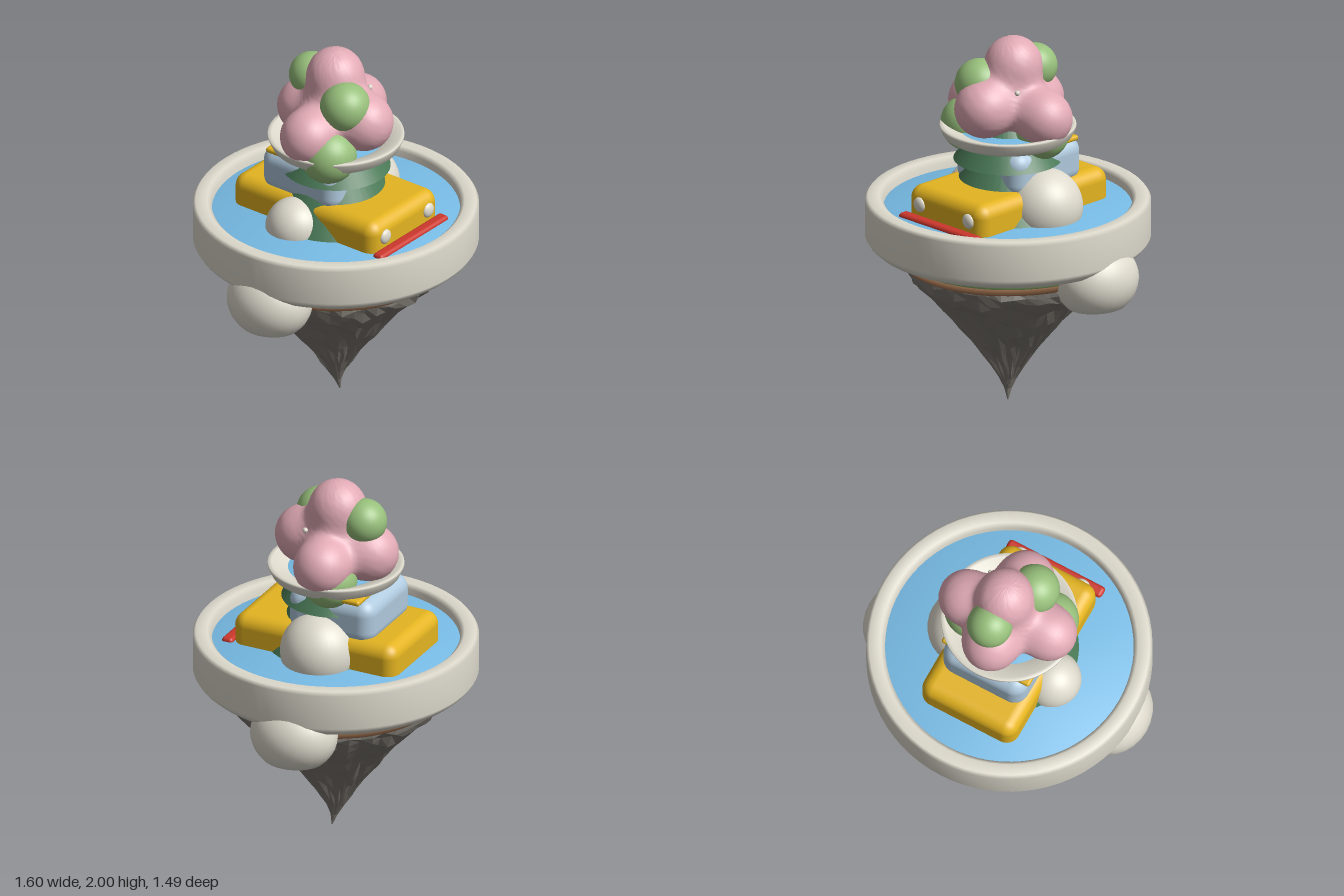
import * as THREE from 'three';
import { mergeVertices } from 'three/addons/utils/BufferGeometryUtils.js';
import { RoundedBoxGeometry } from 'three/addons/geometries/RoundedBoxGeometry.js';

const mat = (name, color) => {
  const m = new THREE.MeshStandardMaterial({ color });
  m.name = name;
  return m;
};

// Weld the vertices so that shading flows smoothly over every edge
const soften = (geometry) => {
  geometry.deleteAttribute('uv');
  geometry.deleteAttribute('normal');
  const welded = mergeVertices(geometry, 1e-4);
  welded.computeVertexNormals();
  return welded;
};

const lathe = (points, segments = 64) =>
  soften(new THREE.LatheGeometry(points.map((p) => new THREE.Vector2(...p)), segments));
const disc = (r, h) => soften(new THREE.CylinderGeometry(r, r, h, 64));
const ball = (r) => new THREE.SphereGeometry(r, 32, 22);

const hash = (a, b) => {
  const s = Math.sin(a * 127.1 + b * 311.7) * 43758.5453;
  return s - Math.floor(s);
};

// Smooth union of balls [x, y, z, r], found along rays from the origin
function blendBalls(balls, sharpness) {
  const g = new THREE.SphereGeometry(1, 80, 60);
  const pos = g.attributes.position;
  const dir = new THREE.Vector3();
  const inside = (t) => balls.reduce((sum, [x, y, z, r]) =>
    sum + Math.exp(-sharpness * (Math.hypot(dir.x * t - x, dir.y * t - y, dir.z * t - z) - r)), 0) > 1;
  for (let i = 0; i < pos.count; i++) {
    dir.fromBufferAttribute(pos, i).normalize();
    let t = 0.5;
    while (t > 0.05 && !inside(t)) t -= 0.002;
    pos.setXYZ(i, dir.x * t, dir.y * t, dir.z * t);
  }
  return soften(g);
}

export function createModel() {
  const stone = mat('pale stone', 0xdedacd);
  const water = mat('water blue', 0x78bce6);
  const yellow = mat('car yellow', 0xe4b420);
  const red = mat('bumper red', 0xcc372c);
  const glass = mat('glass blue', 0xb0cade);
  const pink = mat('blossom pink', 0xe2abb6);
  const leaf = mat('leaf green', 0x98c07c);
  const pine = mat('pine green', 0x4a7a57);
  const soil = mat('soil brown', 0x9e704f);
  const rock = mat('rock grey', 0x7b766f);

  const model = new THREE.Group();
  model.name = 'floatingIsland';
  const add = (name, geometry, material, x = 0, y = 0, z = 0, parent = model) => {
    const mesh = new THREE.Mesh(geometry, material);
    mesh.name = name;
    mesh.position.set(x, y, z);
    parent.add(mesh);
    return mesh;
  };
  const group = (name) => {
    const g = new THREE.Group();
    g.name = name;
    model.add(g);
    return g;
  };

  // Hanging rock: a faceted, tapering spike with rough ridges and a bent tip
  const profile = [[0.003, 0], [0.02, 0.06], [0.05, 0.12], [0.09, 0.19], [0.145, 0.27], [0.205, 0.35], [0.27, 0.43],
    [0.335, 0.51], [0.4, 0.58], [0.46, 0.64], [0.51, 0.695], [0.535, 0.74], [0.535, 0.775]];
  const sides = 52;
  const rings = profile.length;
  const spike = new THREE.LatheGeometry(profile.map((p) => new THREE.Vector2(...p)), sides);
  const pos = spike.attributes.position;
  for (let i = 0; i < pos.count; i++) {
    const ring = i % rings;
    const side = Math.floor(i / rings) % sides;
    const ridge = 0.955 + 0.05 * hash(side, 1) + 0.05 * hash(side, ring + 5);
    const drop = ring > 2 && ring < rings - 1 ? (hash(side, ring + 40) - 0.5) * 0.03 : 0;
    const bend = ring < 2 ? 0.015 * (1 - ring * 0.6) : 0;
    pos.setXYZ(i, pos.getX(i) * ridge + bend, pos.getY(i) + drop, pos.getZ(i) * ridge + bend);
  }
  const facets = spike.toNonIndexed();
  facets.computeVertexNormals();
  add('hangingRock', facets, rock);

  // Soil and grass layers
  add('soilLayer', lathe([[0, 0.75], [0.53, 0.75], [0.55, 0.76], [0.575, 0.81], [0, 0.81]]), soil);
  add('grassLayer', lathe([[0, 0.8], [0.57, 0.8], [0.59, 0.83], [0.58, 0.87], [0, 0.87]]), leaf);

  // Pool basin and water
  add('poolRim', lathe([[0.5, 0.86], [0.7, 0.858], [0.73, 0.885], [0.745, 0.91], [0.745, 1.1],
    [0.73, 1.12], [0.67, 1.12], [0.648, 1.1], [0.645, 1.0]], 72), stone);
  add('poolWater', disc(0.65, 0.1), water, 0, 1.015, 0);

  // Flat-bottomed boulders clinging to both sides
  for (const [name, x, z] of [['leftSideBoulder', 0.595, -0.06], ['rightSideBoulder', -0.595, 0.03]]) {
    const g = new THREE.SphereGeometry(1, 28, 20);
    g.scale(0.205, 0.2, 0.235);
    const p = g.attributes.position;
    for (let i = 0; i < p.count; i++) p.setY(i, Math.max(p.getY(i), -0.145));
    add(name, soften(g), stone, x, 0.795, z);
  }

  // Boulders standing in the pool
  add('leftPoolBoulder', ball(0.205), stone, 0.24, 1.115, -0.025);
  add('rightPoolBoulder', ball(0.155), stone, -0.28, 1.07, -0.05);

  // Car
  const car = group('car');
  add('carBody', new RoundedBoxGeometry(0.56, 0.23, 0.95, 5, 0.07), yellow, 0, 1.115, -0.005, car);
  add('carCabin', new RoundedBoxGeometry(0.49, 0.25, 0.5, 6, 0.08), glass, 0, 1.305, -0.075, car);
  add('carRoof', new RoundedBoxGeometry(0.52, 0.03, 0.27, 3, 0.014), yellow, 0, 1.438, -0.13, car);
  add('frontBumper', new RoundedBoxGeometry(0.57, 0.05, 0.065, 3, 0.02), red, 0, 1.06, 0.495, car);
  for (const s of [-1, 1]) {
    const lamp = add(s > 0 ? 'leftHeadlight' : 'rightHeadlight', ball(0.04), stone, s * 0.18, 1.14, 0.468, car);
    lamp.scale.z = 0.55;
  }

  // Conifer tiers
  const tree = group('conifer');
  add('lowerTier', new THREE.ConeGeometry(0.385, 0.6, 40), pine, 0, 1.33, 0, tree);
  add('upperTier', new THREE.ConeGeometry(0.285, 0.4, 40), pine, 0, 1.53, 0, tree);

  // Upper dish with a broad lip and a little water
  add('dish', lathe([[0, 1.445], [0.31, 1.445], [0.335, 1.462], [0.357, 1.51], [0.355, 1.521],
    [0.335, 1.521], [0.25, 1.49], [0.24, 1.46]]), stone);
  add('dishWater', disc(0.25, 0.02), water, 0, 1.482, 0);

  // Blossom crown, blended into one soft cluster
  const crown = group('blossomCrown');
  const puffs = [
    [0, 0, 0, 0.16], [0.02, 0.185, -0.02, 0.148],
    [0.235, -0.07, -0.035, 0.147], [-0.235, -0.07, 0, 0.147],
    [0.005, -0.02, 0.185, 0.152], [0, -0.05, -0.2, 0.15],
  ];
  add('blossoms', blendBalls(puffs, 28), pink, 0, 1.665, 0, crown);
  const leaves = [
    [0.02, 1.8, -0.175, 0.12], [-0.08, 1.75, 0.125, 0.133],
    [-0.19, 1.5, 0.1, 0.148], [0.19, 1.505, -0.06, 0.145],
  ];
  for (const [x, y, z, r] of leaves) add('leafPuff', ball(r), leaf, x, y, z, crown);
  add('bead', ball(0.014), stone, 0.165, 1.75, 0.095, crown);

  return model;
}
